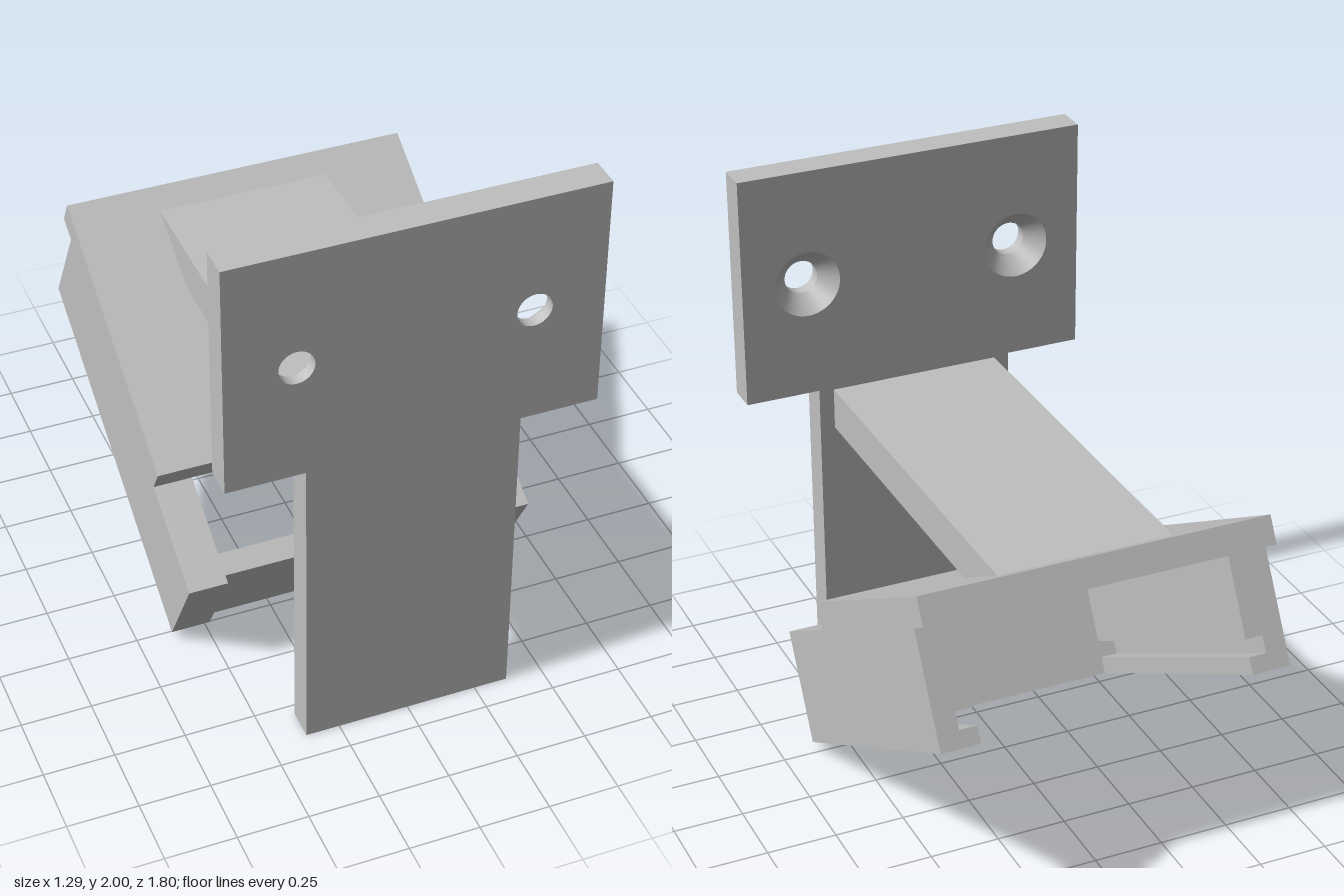
import * as THREE from 'three';

const grey = new THREE.MeshStandardMaterial({ color: 0xbfbfbf });
grey.name = 'plain grey';

function mesh(name, geometry) {
  const m = new THREE.Mesh(geometry, grey);
  m.name = name;
  return m;
}

// box given by its minimum and maximum corners
function box(name, [x0, y0, z0], [x1, y1, z1]) {
  const g = new THREE.BoxGeometry(x1 - x0, y1 - y0, z1 - z0);
  g.translate((x0 + x1) / 2, (y0 + y1) / 2, (z0 + z1) / 2);
  return mesh(name, g);
}

// x-y outline extruded from z0 to z1, with optional round holes
function slab(name, points, z0, z1, holes = []) {
  const shape = new THREE.Shape(points.map(([x, y]) => new THREE.Vector2(x, y)));
  for (const [x, y, r] of holes) {
    shape.holes.push(new THREE.Path().absarc(x, y, r, 0, Math.PI * 2, true));
  }
  const g = new THREE.ExtrudeGeometry(shape, { depth: z1 - z0, bevelEnabled: false, curveSegments: 24 });
  g.translate(0, 0, z0);
  return mesh(name, g);
}

// z-y outline extruded symmetrically across x
function prism(name, points, halfWidth) {
  const m = slab(name, points.map(([z, y]) => [-z, y]), -halfWidth, halfWidth);
  m.geometry.rotateY(Math.PI / 2);
  return m;
}

// T-shaped wall plate with two countersunk screw holes
function wallPlate() {
  const group = new THREE.Group();
  group.name = 'wallPlate';
  const back = 0.79, sink = 0.857, front = 0.9, hx = 0.4, hy = 1.575;
  const outline = [[-0.37, 0], [0.37, 0], [0.37, 1.15], [0.643, 1.15],
    [0.643, 2], [-0.643, 2], [-0.643, 1.15], [-0.37, 1.15]];
  const holes = (r) => [[-hx, hy, r], [hx, hy, r]];
  group.add(slab('plateFrontLayer', outline, sink, front, holes(0.061)));
  group.add(slab('plateBackLayer', outline, back, sink, holes(0.122)));
  for (const s of [-1, 1]) {
    const cone = new THREE.LatheGeometry(
      [new THREE.Vector2(0.061, sink), new THREE.Vector2(0.122, back)], 48);
    cone.rotateX(Math.PI / 2).translate(s * hx, hy, 0);
    group.add(mesh('countersink', cone));
  }
  return group;
}

// T-section arm, cut off along the sloping top of the holder
function arm() {
  const group = new THREE.Group();
  group.name = 'arm';
  const cutZ = (y) => 0.19 - (y - 0.665) * Math.sqrt(3);
  const part = (name, y0, y1, half) =>
    prism(name, [[0.79, y0], [0.79, y1], [cutZ(y1), y1], [cutZ(y0), y0]], half);
  group.add(part('armFlange', 0.99, 1.143, 0.315));
  group.add(part('armWeb', 0.72, 0.99, 0.12));
  return group;
}

// tilted holder: local y is its thickness, local -z runs to its open back
function holder() {
  const group = new THREE.Group();
  group.name = 'holder';
  const inner = 0.49, outer = 0.63, height = 0.407, length = 1.367, wall = 0.11;
  group.add(box('topPlate', [-outer, height, -1.453], [outer, 0.508, -0.398]));
  group.add(box('endWall', [-inner, 0, -wall], [inner, height, -0.029]));
  for (const s of [-1, 1]) {
    // grooved rail and its solid end
    const section = [[inner, 0], [outer, 0], [outer, height], [inner, height],
      [inner, 0.12], [0.553, 0.12], [0.553, 0.06], [inner, 0.06]];
    group.add(slab('sideRail', section.map(([x, y]) => [s * x, y]), -length, -wall));
    const mid = s * (inner + outer) / 2, half = (outer - inner) / 2;
    group.add(box('railEnd', [mid - half, 0, -wall], [mid + half, height, 0]));
  }
  group.rotation.x = Math.PI / 6;
  group.position.set(0, 0.025, 0.28);
  return group;
}

export function createModel() {
  const model = new THREE.Group();
  model.name = 'wallBracket';
  model.add(wallPlate(), arm(), holder());
  return model;
}
